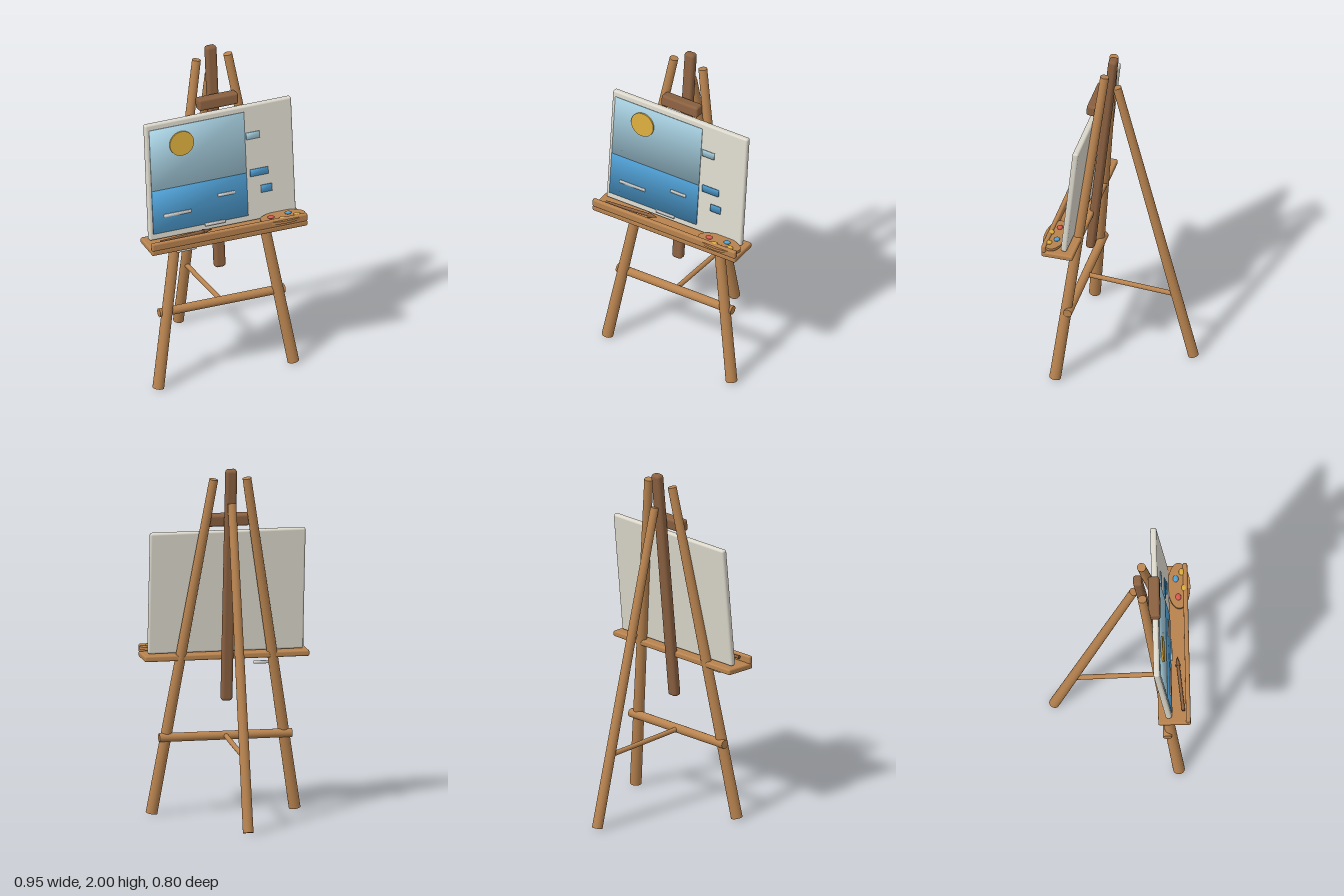
import * as THREE from 'three';
import { RoundedBoxGeometry } from 'three/addons/geometries/RoundedBoxGeometry.js';

const TILT = -0.1; // backward lean shared by mast, canvas and clamp

export function createModel() {
  const model = new THREE.Group();
  model.name = 'easel';

  const mat = (name, color) => {
    const m = new THREE.MeshStandardMaterial({ color });
    m.name = name;
    return m;
  };
  const wood = mat('wood', 0xb8834f);
  const darkWood = mat('darkWood', 0x8a6040);
  const linen = mat('canvasLinen', 0xdcd8cc);
  const skyBlue = mat('skyBlue', 0xa9d2e3);
  const seaBlue = mat('seaBlue', 0x4f9fd4);
  const yellow = mat('sunYellow', 0xdaab3c);
  const foam = mat('foamWhite', 0xe4e6e4);
  const red = mat('paintRed', 0xd65a50);

  const add = (name, geometry, material, x, y, z, parent = model) => {
    const mesh = new THREE.Mesh(geometry, material);
    mesh.name = name;
    mesh.position.set(x, y, z);
    parent.add(mesh);
    return mesh;
  };

  // Round bar running from point a (radius ra) to point b (radius rb)
  const bar = (name, a, b, ra, rb, material) => {
    const from = new THREE.Vector3(...a), to = new THREE.Vector3(...b);
    const dir = to.clone().sub(from);
    const mid = from.clone().addScaledVector(dir, 0.5);
    const mesh = add(name, new THREE.CylinderGeometry(rb, ra, dir.length(), 24), material, mid.x, mid.y, mid.z);
    mesh.quaternion.setFromUnitVectors(new THREE.Vector3(0, 1, 0), dir.normalize());
    return mesh;
  };

  // Legs, crossbar and brace
  for (const [side, s] of [['left', 1], ['right', -1]]) {
    bar(side + 'FrontLeg', [s * 0.41, 0.01, 0.32], [s * 0.095, 1.94, 0.12], 0.033, 0.025, wood);
  }
  bar('rearLeg', [0, 0.01, -0.37], [0, 1.805, 0.075], 0.03, 0.024, wood);
  bar('crossbar', [-0.38, 0.45, 0.257], [0.38, 0.45, 0.257], 0.025, 0.025, wood);
  bar('brace', [0, 0.45, 0.257], [0, 0.418, -0.265], 0.014, 0.014, wood);

  // Central mast and the clamp that holds the canvas
  add('mast', new RoundedBoxGeometry(0.065, 1.35, 0.05, 4, 0.018), darkWood, 0, 1.327, 0.162).rotation.x = TILT;
  add('topClamp', new RoundedBoxGeometry(0.24, 0.068, 0.064, 4, 0.014), darkWood, 0, 1.695, 0.19).rotation.x = TILT;

  // Tray with front lip
  add('trayShelf', new RoundedBoxGeometry(0.944, 0.034, 0.182, 3, 0.01), wood, 0, 0.91, 0.294);
  add('trayLip', new RoundedBoxGeometry(0.944, 0.048, 0.026, 3, 0.01), wood, 0, 0.945, 0.372);

  // Leaning canvas; its children use the canvas plane as their frame
  const board = new THREE.Group();
  board.name = 'canvas';
  board.position.set(0, 1.282, 0.228);
  board.rotation.x = TILT;
  model.add(board);
  add('canvasPanel', new RoundedBoxGeometry(0.89, 0.705, 0.035, 3, 0.012), linen, 0, 0, 0, board);

  // Thin plate with softened, pillow-like normals
  const plate = (name, x, y, w, h, z, material) => {
    const g = new THREE.BoxGeometry(w, h, 0.006);
    const p = g.attributes.position, n = g.attributes.normal;
    const v = new THREE.Vector3();
    for (let i = 0; i < p.count; i++) {
      v.set(Math.sign(p.getX(i)), Math.sign(p.getY(i)), Math.sign(p.getZ(i))).normalize();
      n.setXYZ(i, v.x, v.y, v.z);
    }
    return add(name, g, material, x, y - 1.282, z, board);
  };

  // Painted seascape
  plate('sky', -0.135, 1.415, 0.575, 0.37, 0.0195, skyBlue);
  plate('sea', -0.135, 1.1, 0.575, 0.26, 0.0205, seaBlue);
  const sun = add('sun', new THREE.CylinderGeometry(0.073, 0.073, 0.009, 40), yellow, -0.232, 0.208, 0.027, board);
  sun.rotation.x = Math.PI / 2;
  [[-0.273, 1.07, 0.165, 0.026], [0.025, 1.13, 0.1, 0.026], [-0.05, 0.967, 0.12, 0.027], [-0.232, 0.845, 0.12, 0.034]]
    .forEach(([x, y, w, z], i) => plate('wave' + (i + 1), x, y, w, 0.017, z, foam));

  // Test strokes on the bare strip
  plate('paleStroke', 0.201, 1.45, 0.08, 0.04, 0.021, skyBlue);
  plate('longStroke', 0.23, 1.222, 0.108, 0.042, 0.021, seaBlue);
  plate('shortStroke', 0.27, 1.115, 0.066, 0.044, 0.021, seaBlue);

  // Palette with dabs of paint
  add('palette', new THREE.CylinderGeometry(0.135, 0.135, 0.016, 40), wood, 0.339, 0.952, 0.336).scale.z = 0.47;
  [[0.27, 0.331, red], [0.379, 0.318, seaBlue], [0.325, 0.365, yellow], [0.419, 0.352, yellow]]
    .forEach(([x, z, m], i) => {
      add('paintDab' + (i + 1), new THREE.SphereGeometry(0.02, 20, 12), m, x, 0.963, z).scale.set(1, 0.4, 0.8);
    });

  // Brush resting in the tray
  bar('brushHandle', [-0.405, 0.953, 0.345], [-0.135, 0.953, 0.321], 0.009, 0.009, darkWood);
  bar('brushTip', [-0.137, 0.953, 0.321], [-0.083, 0.953, 0.317], 0.015, 0.001, darkWood);

  return model;
}
